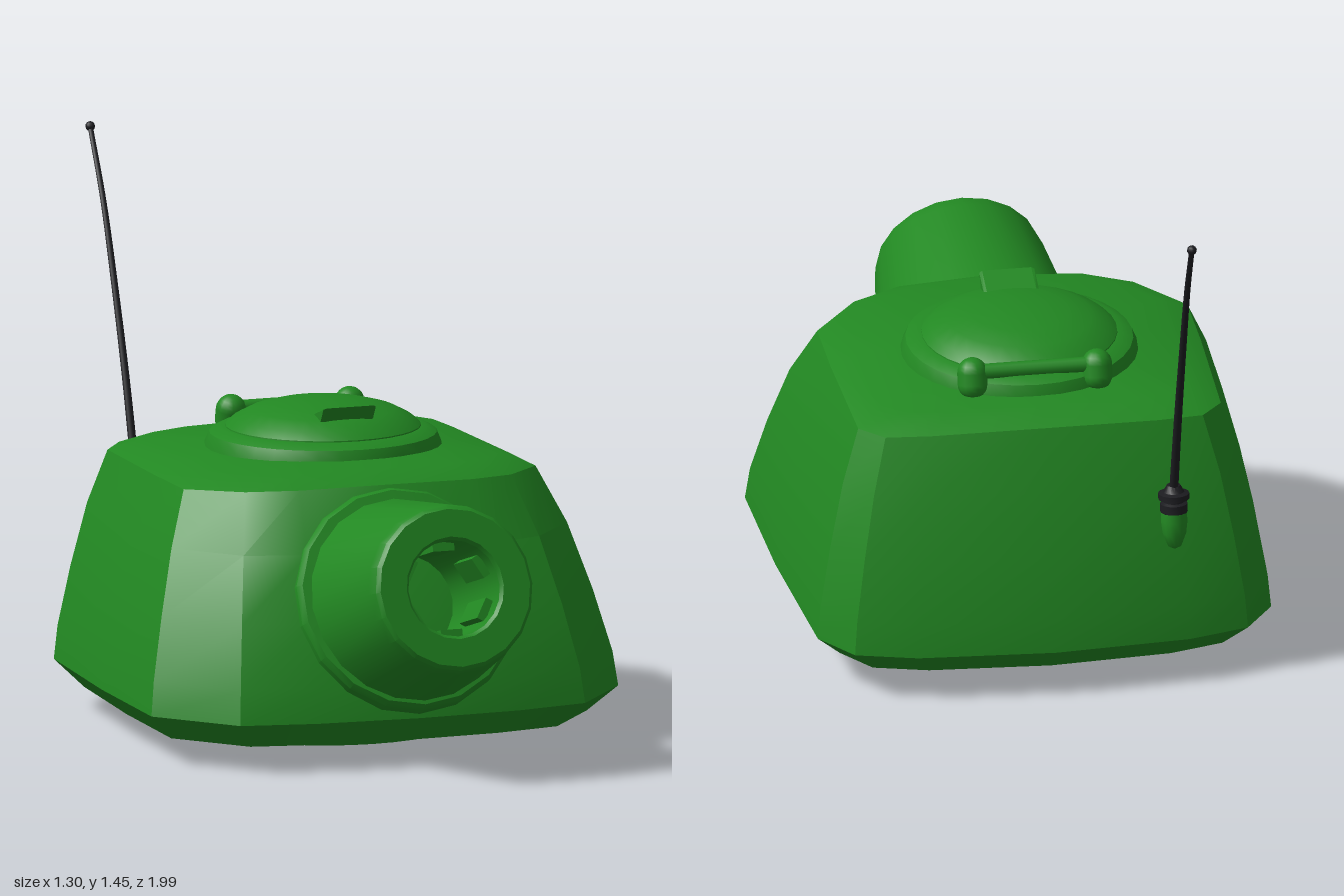
import * as THREE from 'three';
import { toCreasedNormals } from 'three/addons/utils/BufferGeometryUtils.js';

const green = new THREE.MeshStandardMaterial({ color: 0x228822 });
const black = new THREE.MeshStandardMaterial({ color: 0x1c1c20 });
const grey = new THREE.MeshStandardMaterial({ color: 0x444044 });

function add(parent, name, geometry, material, x = 0, y = 0, z = 0) {
  const mesh = new THREE.Mesh(geometry, material);
  mesh.name = name;
  mesh.position.set(x, y, z);
  parent.add(mesh);
  return mesh;
}

function lathe(points, segments, crease = 0.6) {
  const profile = points.map(([r, y]) => new THREE.Vector2(r, y));
  return toCreasedNormals(new THREE.LatheGeometry(profile, segments), crease);
}

// Skin equal-length closed loops, ordered from bottom to top
function skin(loops) {
  const n = loops[0].length, index = [];
  for (let k = 0; k < loops.length - 1; k++) {
    for (let i = 0; i < n; i++) {
      const a = k * n + i, b = k * n + (i + 1) % n;
      index.push(a, b, b + n, a, b + n, a + n);
    }
  }
  const geometry = new THREE.BufferGeometry();
  geometry.setAttribute('position', new THREE.Float32BufferAttribute(loops.flat(2), 3));
  geometry.setIndex(index);
  return toCreasedNormals(geometry, 0.5);
}

const mirrorOutline = half =>
  [...half, ...half.slice(1, -1).reverse().map(([x, z]) => [-x, z])];

// Hull: a wide lower outline blended into a narrower roof outline
function hullGeometry() {
  const base = mirrorOutline([[0, 0.675], [0.28, 0.66], [0.48, 0.62], [0.65, 0.41], [0.637, 0],
    [0.6, -0.46], [0.52, -0.575], [0.36, -0.62], [0, -0.645]]);
  const roof = mirrorOutline([[0, 0.44], [0.24, 0.42], [0.37, 0.36], [0.49, 0.22], [0.49, 0],
    [0.48, -0.38], [0.42, -0.455], [0.3, -0.48], [0, -0.495]]);
  // height, blend towards roof, scale, crown
  const levels = [
    [0.06, 0, 0.89, 0], [0.13, 0, 1, 0], [0.22, 0.07, 1, 0], [0.38, 0.31, 1, 0],
    [0.55, 0.62, 1, 0], [0.69, 1, 1, 0.02], [0.72, 1, 0.84, 0.02], [0.725, 1, 0.4, 0.02],
  ];
  const loops = levels.map(([y, t, s, crown]) => base.map(([bx, bz], i) => {
    const x = (bx + (roof[i][0] - bx) * t) * s;
    const z = (bz + (roof[i][1] - bz) * t) * s;
    return [x, y + crown * (1 - (x / 0.5) ** 2), z];
  }));
  // Underside closes onto the turret ring
  const opening = base.map(([x, z]) => {
    const d = Math.hypot(x, z + 0.04);
    return [x / d * 0.36, 0.06, (z + 0.04) / d * 0.36 - 0.04];
  });
  return skin([opening, ...loops]);
}

// Short gun barrel along local y, muzzle face at y = 0
function buildGun() {
  const gun = new THREE.Group();
  gun.name = 'gun';
  add(gun, 'barrel', lathe([[0.285, -0.46], [0.226, -0.045], [0.218, -0.01], [0.208, 0],
    [0.135, 0], [0.127, -0.01], [0.127, -0.5]], 20), green);
  const plug = add(gun, 'boreEnd', new THREE.CircleGeometry(0.13, 20), grey, 0, -0.45, 0);
  plug.rotation.x = -Math.PI / 2;
  // Ridges inside the bore
  for (let i = 0; i < 6; i++) {
    const angle = i * Math.PI / 3 + Math.PI / 2;
    const ridge = add(gun, 'boreRidge', new THREE.BoxGeometry(0.03, 0.14, 0.06), green,
      Math.cos(angle) * 0.118, -0.13, Math.sin(angle) * 0.118);
    ridge.rotation.y = -angle;
  }
  gun.position.set(0, 0.522, 0.94);
  gun.rotation.x = 1.295;
  return gun;
}

function buildHatch() {
  const hatch = new THREE.Group();
  hatch.name = 'hatch';
  add(hatch, 'hatchRim', lathe([[0.315, 0.69], [0.31, 0.74], [0.298, 0.768], [0.27, 0.782],
    [0.24, 0.784]], 32), green);
  add(hatch, 'hatchLid', lathe([[0.258, 0.77], [0.256, 0.786], [0.235, 0.805], [0.19, 0.828],
    [0.13, 0.844], [0.065, 0.853], [0, 0.855]], 32), green);
  // Wedge handle near the front of the lid
  const wedge = new THREE.Shape([[-0.2, 0.862], [-0.12, 0.835], [-0.12, 0.81], [-0.175, 0.82]]
    .map(([z, y]) => new THREE.Vector2(z, y)));
  const handle = new THREE.ExtrudeGeometry(wedge, {
    depth: 0.13, bevelEnabled: true, bevelSize: 0.004, bevelThickness: 0.008, bevelSegments: 1,
  });
  handle.translate(0, 0, -0.065).rotateY(Math.PI / 2);
  add(hatch, 'hatchHandle', handle, green);
  // Hinge bar with rounded knuckles
  const bar = add(hatch, 'hingeBar', new THREE.CylinderGeometry(0.02, 0.02, 0.32, 12), green, 0, 0.795, -0.25);
  bar.rotation.z = Math.PI / 2;
  for (const side of [-1, 1]) {
    const knuckle = add(hatch, 'hingeKnuckle', new THREE.CapsuleGeometry(0.04, 0.03, 6, 14), green,
      side * 0.165, 0.778, -0.25);
    knuckle.rotation.set(0.25, 0, 0);
  }
  hatch.position.z = -0.055;
  return hatch;
}

function buildAntenna() {
  const antenna = new THREE.Group();
  antenna.name = 'antenna';
  // Teardrop socket and stacked collar
  const foot = new THREE.Group();
  foot.name = 'antennaFoot';
  foot.position.set(-0.32, 0.39, -0.61);
  foot.rotation.x = 0.1;
  add(foot, 'antennaSocket', lathe([[0, 0], [0.018, 0.01], [0.031, 0.045], [0.035, 0.08],
    [0.032, 0.12], [0, 0.125]], 14, 0.9), green);
  add(foot, 'antennaCollar', lathe([[0.025, 0.1], [0.036, 0.105], [0.036, 0.128], [0.027, 0.132],
    [0.027, 0.138], [0.041, 0.141], [0.041, 0.156], [0.028, 0.16], [0.018, 0.178], [0, 0.18]], 14), black);
  antenna.add(foot);
  // Whip tapering towards its tip
  const path = new THREE.CatmullRomCurve3([[-0.32, 0.54, -0.592], [-0.32, 0.67, -0.628],
    [-0.319, 0.83, -0.68], [-0.316, 1.06, -0.772], [-0.311, 1.26, -0.868], [-0.304, 1.435, -0.985]]
    .map(p => new THREE.Vector3(...p)));
  const steps = 20, sides = 8;
  const whip = new THREE.TubeGeometry(path, steps, 0.012, sides);
  const pos = whip.attributes.position, v = new THREE.Vector3();
  for (let i = 0; i < pos.count; i++) {
    const t = Math.floor(i / (sides + 1)) / steps;
    v.fromBufferAttribute(pos, i).lerp(path.getPointAt(t), t * 0.4);
    pos.setXYZ(i, v.x, v.y, v.z);
  }
  add(antenna, 'antennaWhip', whip, black);
  add(antenna, 'antennaTip', new THREE.SphereGeometry(0.013, 10, 8), black, -0.304, 1.435, -0.985);
  return antenna;
}

export function createModel() {
  const turret = new THREE.Group();
  turret.name = 'turret';
  add(turret, 'hull', hullGeometry(), green);
  // Turret ring with the well inside it
  add(turret, 'turretRing', lathe([[0, 0.3], [0.3, 0.3], [0.3, 0], [0.36, 0], [0.372, 0.012],
    [0.376, 0.08]], 36), green, 0, 0, -0.04);
  // Collar where the gun meets the hull
  const collar = add(turret, 'gunCollar', lathe([[0.303, -0.07], [0.303, -0.002], [0.292, 0.016],
    [0.24, 0.02]], 18), green, 0, 0.43, 0.575);
  collar.rotation.x = 1.122;
  turret.add(buildGun(), buildHatch(), buildAntenna());
  return turret;
}
